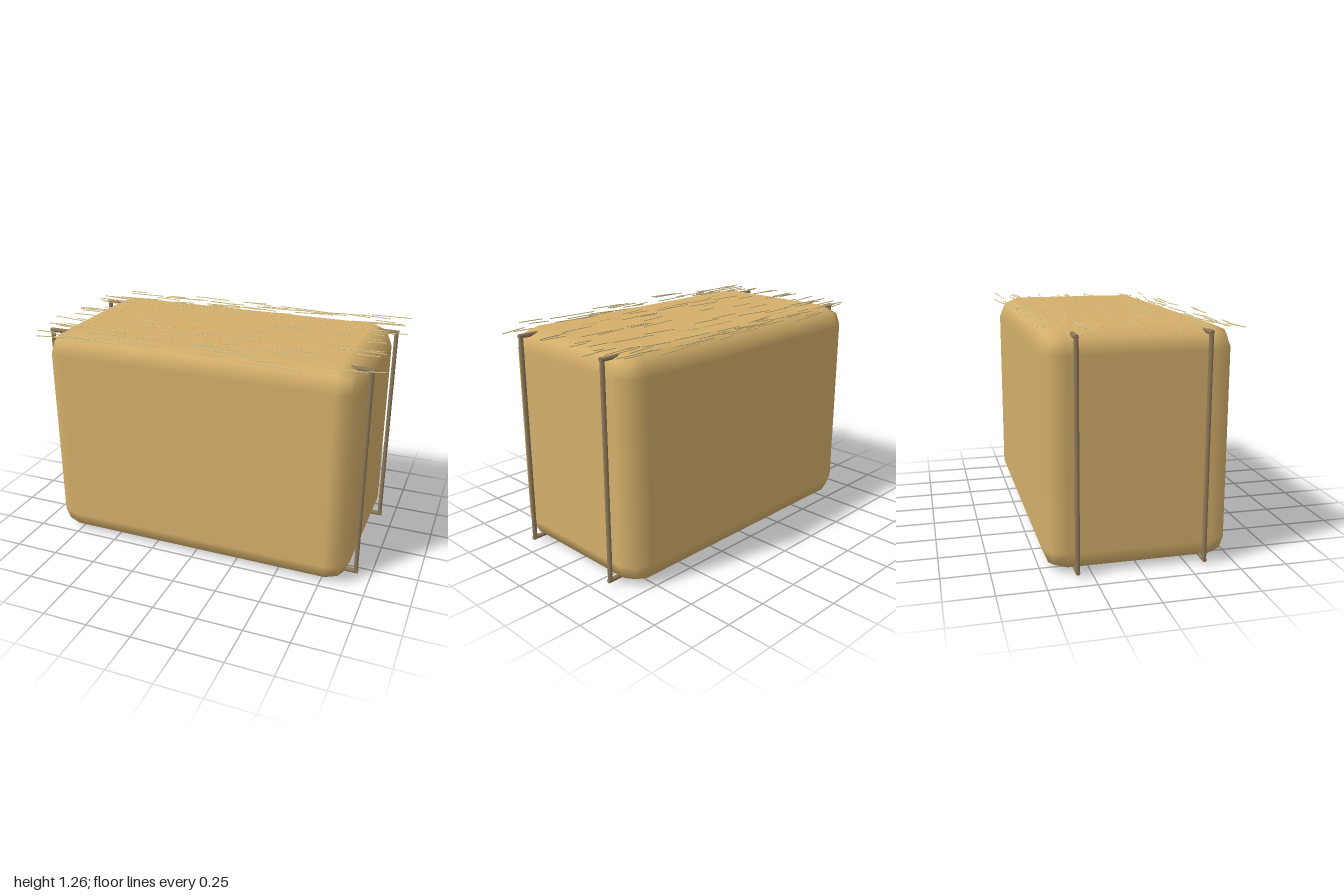
import * as THREE from 'three';
import { mergeGeometries } from 'three/addons/utils/BufferGeometryUtils.js';
import { RoundedBoxGeometry } from 'three/addons/geometries/RoundedBoxGeometry.js';

const W = 1.775, H = 1.235, D = 0.985, CX = 0.006;

// Small seeded random generator
function seeded(seed) {
  return () => {
    seed = (seed * 1664525 + 1013904223) % 4294967296;
    return seed / 4294967296;
  };
}

// Rod between two points
function rod(a, b, radius) {
  const dir = b.clone().sub(a);
  const g = new THREE.CylinderGeometry(radius, radius, dir.length(), 6);
  g.applyQuaternion(new THREE.Quaternion().setFromUnitVectors(new THREE.Vector3(0, 1, 0), dir.normalize()));
  const mid = a.clone().add(b).multiplyScalar(0.5);
  return g.translate(mid.x, mid.y, mid.z);
}

export function createModel() {
  const hay = new THREE.MeshStandardMaterial({ color: 0xd4af6a });
  hay.name = 'hay';
  const twine = new THREE.MeshStandardMaterial({ color: 0x8f7a5a });
  twine.name = 'twine';
  const straw = new THREE.MeshStandardMaterial({ color: 0xdcc384 });
  straw.name = 'straw';

  const model = new THREE.Group();
  model.name = 'hayBale';
  const add = (name, geometry, material) => {
    const mesh = new THREE.Mesh(geometry, material);
    mesh.name = name;
    model.add(mesh);
    return mesh;
  };

  // Softly bevelled block
  add('bale', new RoundedBoxGeometry(W, H, D, 1, 0.12), hay).position.set(CX, H / 2, 0.002);

  // Two rectangular twine loops, partly sunk in the bale
  const r = 0.0125, x0 = -0.908, x1 = 0.92, y0 = 0.032, y1 = 1.208;
  for (const z of [-0.333, 0.333]) {
    const p = (x, y) => new THREE.Vector3(x, y, z);
    const loop = [
      rod(p(x0, y0), p(x0, y1), r), rod(p(x1, y0), p(x1, y1), r),
      rod(p(x0 - r, y0), p(x1 + r, y0), r), rod(p(x0 - r, y1), p(x1 + r, y1), r),
    ];
    add(z > 0 ? 'frontTwine' : 'backTwine', mergeGeometries(loop), twine);
  }

  // Loose straws scattered over the top, mostly along the length
  const rand = seeded(27);
  const straws = [];
  const addStraw = (x, y, z, length, turn, tilt = 0) => {
    const g = new THREE.BoxGeometry(length, 0.004, 0.004);
    straws.push(g.rotateZ(tilt).rotateY(turn).translate(x, y, z));
  };
  addStraw(-0.895, 1.23, 0.168, 0.212, -0.16);
  addStraw(0.915, 1.225, 0.405, 0.17, 0.27);
  addStraw(0.59, 1.23, -0.517, 0.28, 0.1);
  addStraw(-0.45, 1.225, -0.5, 0.28, 0.1);
  addStraw(-0.7, 1.225, 0.505, 0.22, -0.1);
  addStraw(0.45, 1.225, 0.505, 0.3, -0.06);
  for (let i = 0; i < 180; i++) {
    const length = 0.1 + 0.15 * rand();
    const reach = 0.99 - length / 2;
    const x = THREE.MathUtils.clamp((rand() * 2 - 1) * 0.9, -reach, reach);
    addStraw(x, 1.218 + 0.034 * rand(), (rand() * 2 - 1) * 0.5, length,
      (rand() - 0.5) * 0.3, (rand() - 0.5) * 0.03);
  }
  add('looseStraw', mergeGeometries(straws), straw);

  return model;
}
